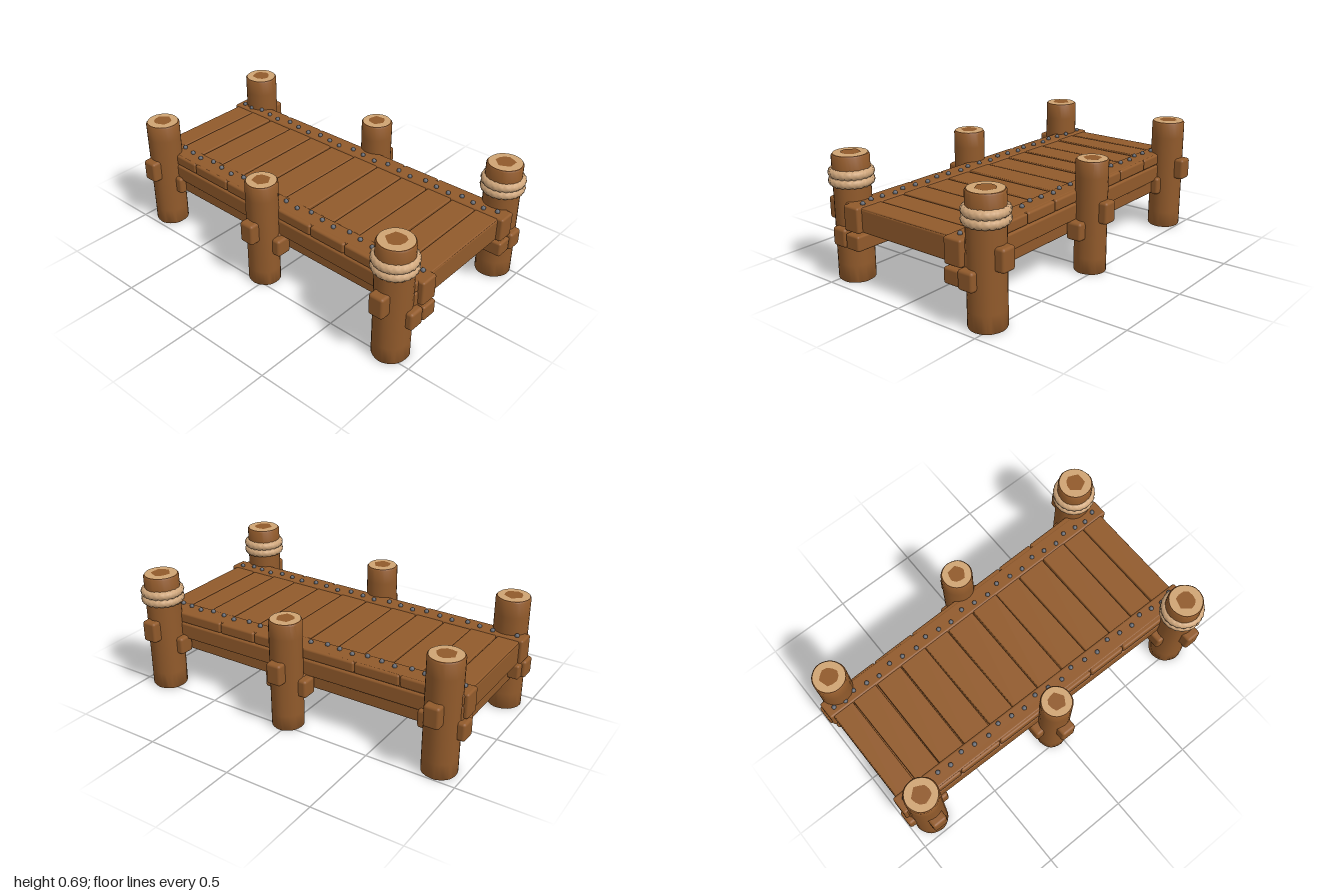
import * as THREE from 'three';
import { RoundedBoxGeometry } from 'three/addons/geometries/RoundedBoxGeometry.js';
import { mergeVertices, toCreasedNormals } from 'three/addons/utils/BufferGeometryUtils.js';

const material = (name, color) => Object.assign(new THREE.MeshStandardMaterial({ color }), { name });

export function createModel() {
  const wood = material('wood', 0x915a2b);
  const cutWood = material('cut wood', 0xcfa473);
  const ropeFibre = material('rope', 0xd0a77c);
  const iron = material('iron', 0x666a72);

  const model = new THREE.Group();
  model.name = 'dock';

  const add = (parent, name, geometry, mat, x = 0, y = 0, z = 0) => {
    const mesh = new THREE.Mesh(geometry, mat);
    mesh.name = name;
    mesh.position.set(x, y, z);
    parent.add(mesh);
    return mesh;
  };

  // Softly rounded timber block given by its size and centre
  const block = (parent, name, w, h, d, x, y, z, round = 0.012) =>
    add(parent, name, new RoundedBoxGeometry(w, h, d, 2, round), wood, x, y, z);

  // Lengthwise timber between two end points
  const beam = (name, a, b, h, d) => {
    const from = new THREE.Vector3(...a), to = new THREE.Vector3(...b);
    const dir = to.clone().sub(from);
    const mid = from.clone().add(to).multiplyScalar(0.5);
    const mesh = block(model, name, dir.length(), h, d, mid.x, mid.y, mid.z);
    mesh.quaternion.setFromUnitVectors(new THREE.Vector3(1, 0, 0), dir.normalize());
  };

  // Slightly uneven round log with narrow bevels
  const logGeometry = (r, h, seed) => {
    const profile = [[0, 0], [r - 0.004, 0], [r, 0.005]];
    for (let i = 1; i < 7; i++) profile.push([r, (h * i) / 7]);
    profile.push([r, h - 0.008], [r - 0.006, h], [0, h]);
    const g = new THREE.LatheGeometry(profile.map(p => new THREE.Vector2(...p)), 28);
    const pos = g.attributes.position;
    for (let i = 0; i < pos.count; i++) {
      const x = pos.getX(i), y = pos.getY(i), z = pos.getZ(i);
      const a = Math.atan2(x, z);
      const k = 1 + 0.012 * Math.sin(3 * a + seed + y * 4) + 0.008 * Math.sin(7 * a + seed * 2);
      pos.setXYZ(i, x * k, y, z * k);
    }
    return toCreasedNormals(g, 0.7);
  };

  // Irregular flat patch of end grain
  const heartGeometry = (r, seed) => {
    const points = [];
    for (let i = 0; i < 11; i++) {
      const a = (i / 11) * Math.PI * 2, k = r * (1 + 0.09 * Math.sin(i * 2.7 + seed));
      points.push(new THREE.Vector2(k * Math.cos(a), k * Math.sin(a)));
    }
    return new THREE.ShapeGeometry(new THREE.Shape(points)).rotateX(-Math.PI / 2);
  };

  // Ring of rope with slanted strands
  const ropeGeometry = (R, r) => {
    const g = new THREE.TorusGeometry(R, r, 12, 144);
    const pos = g.attributes.position;
    for (let i = 0; i < pos.count; i++) {
      const x = pos.getX(i), y = pos.getY(i), z = pos.getZ(i);
      const u = Math.atan2(y, x), out = Math.hypot(x, y) - R;
      const v = Math.atan2(z, out);
      const k = 0.84 + 0.2 * Math.abs(Math.sin(0.5 * (20 * u + 4 * v)));
      const rad = R + out * k;
      pos.setXYZ(i, rad * Math.cos(u), rad * Math.sin(u), z * k);
    }
    g.deleteAttribute('uv');
    g.deleteAttribute('normal');
    const merged = mergeVertices(g, 1e-5);
    merged.computeVertexNormals();
    return merged.rotateX(Math.PI / 2);
  };

  // Posts: x, z, radius, height, reach of outward peg, its height, height of lengthwise peg, has rope
  const posts = [
    [-0.87, 0.39, 0.094, 0.65, 0.525, 0.37, 0.265, false],
    [-0.87, -0.405, 0.094, 0.65, 0.54, 0.37, 0.265, false],
    [-0.03, 0.44, 0.088, 0.624, 0.57, 0.35, 0.247, false],
    [0.015, -0.46, 0.088, 0.624, 0.585, 0.35, 0.247, false],
    [0.855, 0.457, 0.098, 0.682, 0.6, 0.37, 0.262, true],
    [0.865, -0.462, 0.098, 0.682, 0.6, 0.37, 0.262, true],
  ];
  posts.forEach(([x, z, r, h, reach, outY, alongY, roped], i) => {
    const post = new THREE.Group();
    post.name = 'post';
    post.position.set(x, 0, z);
    model.add(post);
    const s = Math.sign(z);
    add(post, 'postLog', logGeometry(r, h, i * 1.7), wood);
    add(post, 'cutRing', new THREE.CircleGeometry(r - 0.008, 28).rotateX(-Math.PI / 2), cutWood, 0, h + 0.002, 0);
    add(post, 'heartwood', heartGeometry(r * 0.53, i), wood, 0, h + 0.004, 0);
    const len = reach - Math.abs(z);
    block(post, 'outwardPeg', 0.088, 0.122, len, 0, outY, (s * len) / 2, 0.016);
    block(post, 'lengthwisePeg', 0.262, 0.102, 0.092, 0, alongY, -s * 0.025, 0.016);
    if (roped) {
      for (const y of [0.584, 0.54])
        add(post, 'ropeRing', ropeGeometry(r - 0.004, 0.026), ropeFibre, 0, y, 0);
    }
  });

  // Deck planks, laid close together and falling slightly toward +x
  const seams = [-0.97, -0.84, -0.685, -0.52, -0.35, -0.19, -0.015, 0.155, 0.325, 0.5, 0.66, 0.81, 0.95];
  for (let i = 0; i < 12; i++) {
    const x = (seams[i] + seams[i + 1]) / 2;
    const plank = block(model, 'plank', seams[i + 1] - seams[i] - 0.007, 0.045, 0.7,
      x, 0.424 - 0.004 * x + 0.002 * Math.sin(i * 2.3), 0, 0.006);
    plank.rotation.y = 0.006 * Math.sin(i * 1.9);
  }
  add(model, 'underlay', new THREE.BoxGeometry(1.86, 0.008, 0.62), wood, -0.01, 0.404, 0);

  // Boards closing both ends of the deck
  block(model, 'endBoard', 0.05, 0.13, 0.66, 0.925, 0.375, 0);
  block(model, 'endBoard', 0.05, 0.13, 0.64, -0.945, 0.38, 0);

  // Long timbers on each side; the deck widens slightly toward +x
  const sides = [[0.322, 0.338, 1], [-0.335, -0.35, -1]];
  for (const [z0, z1, s] of sides) {
    const zAt = x => THREE.MathUtils.lerp(z0, z1, (x + 1) / 2);
    beam('edgeTrim', [-0.99, 0.389, z0], [0.98, 0.379, z1], 0.138, 0.105);

    // Short facing boards along the outer top edge
    const cuts = [-0.97, -0.62, -0.36, 0, 0.27, 0.5, 0.95];
    for (let i = 0; i < cuts.length - 1; i++) {
      const a = cuts[i], b = cuts[i + 1] - 0.003;
      const outer = x => zAt(x) + s * (0.048 + 0.008 * x);
      beam('facingBoard', [a, 0.42 - 0.004 * a, outer(a)], [b, 0.42 - 0.004 * b, outer(b)], 0.062, 0.04);
    }
    beam('sideBeam', [-0.97, 0.343, z0 + s * 0.038], [0.95, 0.338, z1 + s * 0.054], 0.094, 0.05);
    beam('lowerStringer', [-0.98, 0.26, z0], [0.985, 0.256, z1 - s * 0.005], 0.084, 0.095);

    // Round nail heads along the trim
    const nail = new THREE.SphereGeometry(0.013, 10, 6);
    for (let i = 0; i < 24; i++) {
      const k = Math.floor(i / 2), t = i % 2 ? 0.76 : 0.24;
      const x = THREE.MathUtils.lerp(seams[k], seams[k + 1], t);
      add(model, 'nail', nail, iron, x, 0.458 - 0.005 * x, zAt(x) - s * 0.014 + 0.012 * Math.sin(i * 2.1));
    }
  }

  // Cross beams carrying the stringers
  block(model, 'crossBeam', 0.1, 0.12, 0.86, -0.005, 0.245, -0.01).rotation.y = 0.05;
  block(model, 'crossBeam', 0.1, 0.12, 0.76, -0.87, 0.245, 0);

  return model;
}
